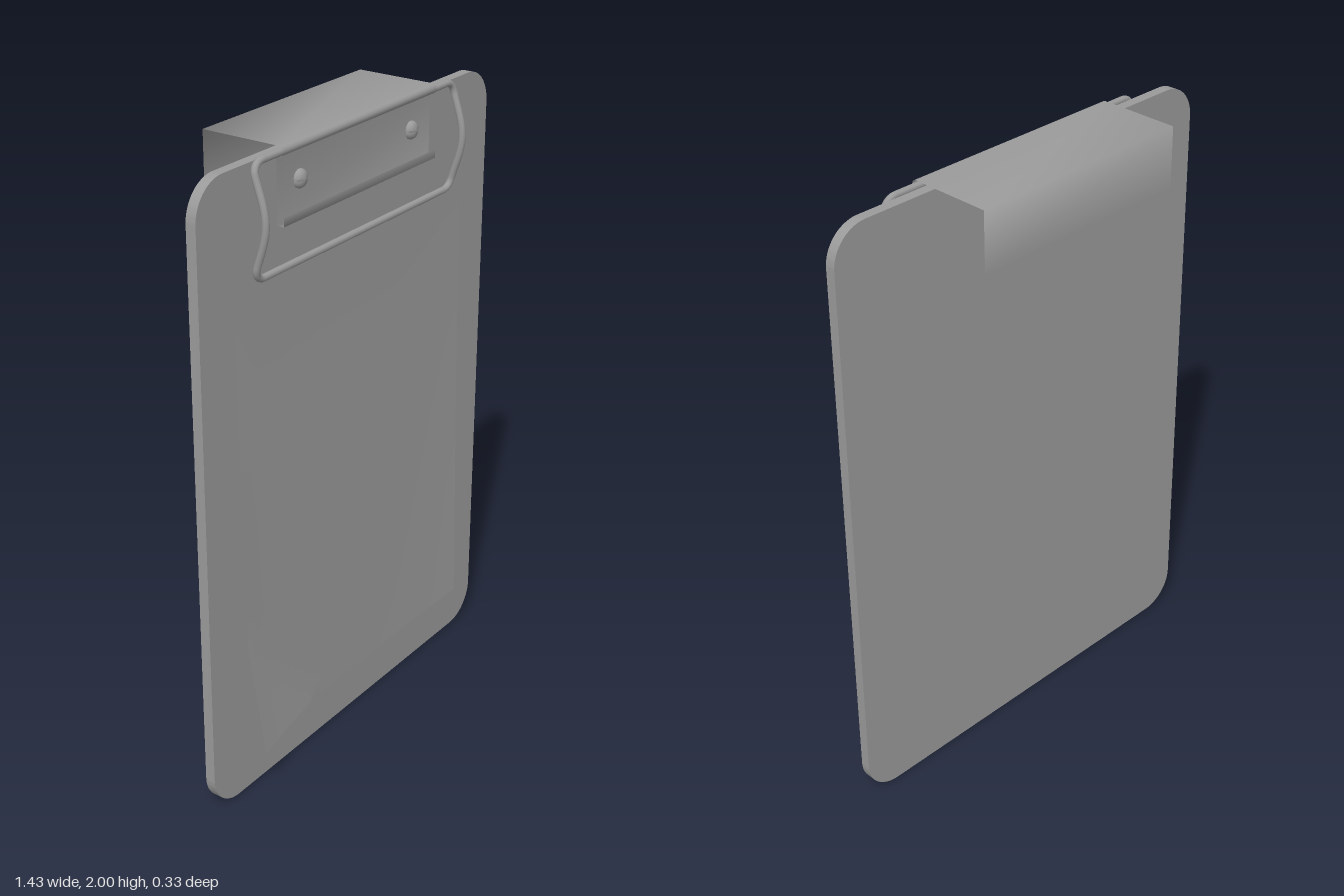
import * as THREE from 'three';
import { toCreasedNormals } from 'three/addons/utils/BufferGeometryUtils.js';

const grey = new THREE.MeshStandardMaterial({ color: 0x9a9a9a });
const greyThin = new THREE.MeshStandardMaterial({ color: 0x9a9a9a, side: THREE.DoubleSide });

function roundedRect(x0, y0, x1, y1, r) {
  const s = new THREE.Shape();
  s.absarc(x1 - r, y0 + r, r, -Math.PI / 2, 0);
  s.absarc(x1 - r, y1 - r, r, 0, Math.PI / 2);
  s.absarc(x0 + r, y1 - r, r, Math.PI / 2, Math.PI);
  s.absarc(x0 + r, y0 + r, r, Math.PI, Math.PI * 1.5);
  s.closePath();
  return s;
}

export function createModel() {
  const model = new THREE.Group();
  const add = (name, geometry, material = grey, parent = model) => {
    const mesh = new THREE.Mesh(geometry, material);
    mesh.name = name;
    parent.add(mesh);
    return mesh;
  };

  // Backing board
  const board = new THREE.ExtrudeGeometry(roundedRect(-0.714, 0, 0.714, 1.98, 0.115),
    { depth: 0.033, bevelEnabled: false, curveSegments: 12 });
  board.translate(0, 0, 0.05);
  add('board', toCreasedNormals(board, 0.6));

  // Paper sheet, lifting towards the bottom and the sides, with one raised corner
  const paper = new THREE.PlaneGeometry(1.136, 1.578, 24, 32);
  paper.translate(0.001, 0.951, 0);
  const pos = paper.attributes.position;
  for (let i = 0; i < pos.count; i++) {
    const x = pos.getX(i), y = pos.getY(i);
    const lift = Math.max(0, (1.6 - y) / 1.438);
    const corner = Math.max(0, 1 - (x + 0.567) / 0.33 - (y - 0.162) / 0.36);
    pos.setZ(i, 0.0845 + 0.022 * lift ** 1.6 + 0.008 * lift * (x / 0.567) ** 4 + 0.05 * corner);
  }
  paper.computeVertexNormals();
  add('paper', paper, greyThin);

  // Clip plate, a bent sheet: rear flap, top, roll around the wire, front face, bottom lip
  const clip = new THREE.Group();
  clip.name = 'clip';
  model.add(clip);
  const profile = [[-0.165, 1.806], [-0.165, 1.999]];
  for (let i = 0; i <= 8; i++) {
    const a = Math.PI / 2 - (i / 8) * Math.PI;
    profile.push([0.097 + 0.015 * Math.cos(a), 1.984 + 0.015 * Math.sin(a)]);
  }
  profile.push([0.088, 1.963], [0.088, 1.772], [0.111, 1.772], [0.111, 1.798]);
  const plate = new THREE.PlaneGeometry(0.754, 1, 1, profile.length - 1);
  profile.forEach(([z, y], row) => {
    for (const i of [row * 2, row * 2 + 1]) {
      plate.attributes.position.setY(i, y);
      plate.attributes.position.setZ(i, z);
    }
  });
  plate.computeVertexNormals();
  add('clipPlate', plate, greyThin, clip);

  // Wire loop, bowed forward between its top and bottom bars
  const outline = roundedRect(-0.489, 1.647, 0.489, 1.981, 0.035).getSpacedPoints(160);
  outline.pop();
  const bow = y => 0.097 + 0.039 * Math.max(0, Math.sin(Math.PI * (y - 1.647) / 0.334)) ** 1.6;
  const path = new THREE.CatmullRomCurve3(
    outline.map(p => new THREE.Vector3(p.x, p.y, bow(p.y))), true);
  add('wireLoop', new THREE.TubeGeometry(path, 240, 0.011, 10, true), grey, clip);

  // Slotted screws: two half domes either side of a horizontal slot
  const dome = [[0.026, 0], [0.026, 0.006], [0.021, 0.014], [0.012, 0.019], [0, 0.021]]
    .map(([r, h]) => new THREE.Vector2(r, h));
  for (const side of [-1, 1]) {
    const screw = new THREE.Group();
    screw.name = side > 0 ? 'screwLeft' : 'screwRight';
    screw.position.set(side * 0.275, 1.88, 0.088);
    clip.add(screw);
    for (const half of [0, 1]) {
      const geo = new THREE.LatheGeometry(dome, 12, Math.PI / 2 + half * Math.PI, Math.PI);
      geo.rotateX(Math.PI / 2);
      geo.translate(0, half ? -0.002 : 0.002, 0);
      add('screwHalf', geo, greyThin, screw);
    }
    const core = new THREE.CylinderGeometry(0.024, 0.024, 0.01, 20);
    core.rotateX(Math.PI / 2);
    core.translate(0, 0, 0.005);
    add('screwCore', core, grey, screw);
  }
  return model;
}
